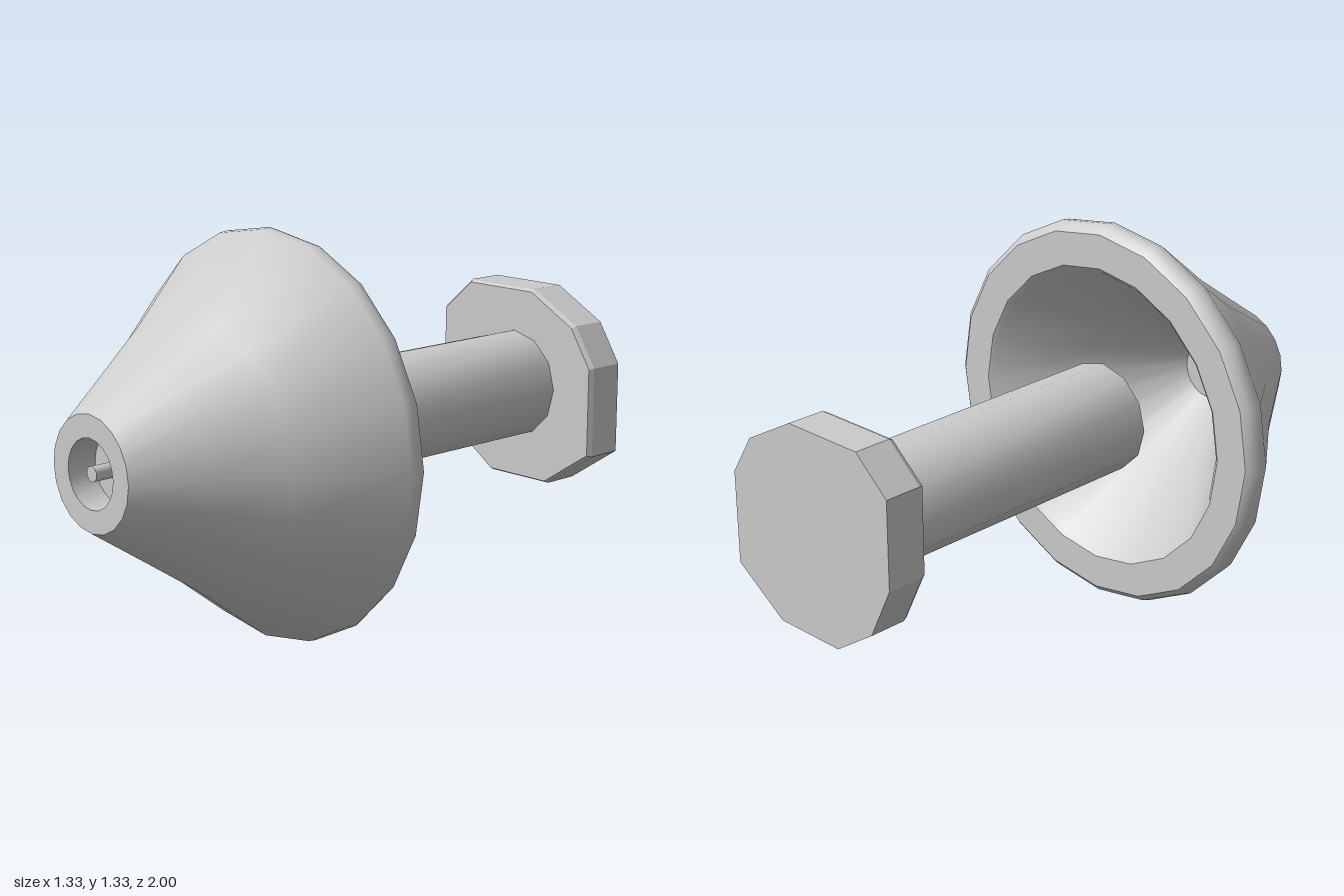
import * as THREE from 'three';
import { toCreasedNormals } from 'three/addons/utils/BufferGeometryUtils.js';

const AXIS_Y = 0.663;

export function createModel() {
  const model = new THREE.Group();
  const material = new THREE.MeshStandardMaterial({ color: 0xcccccc });

  function add(name, geometry, crease = 0.6) {
    const mesh = new THREE.Mesh(toCreasedNormals(geometry, crease), material);
    mesh.name = name;
    mesh.position.y = AXIS_Y;
    model.add(mesh);
    return mesh;
  }

  // Revolve a [radius, z] profile around the z axis
  function turned(profile, sides) {
    const points = profile.map(([r, z]) => new THREE.Vector2(r, z));
    return new THREE.LatheGeometry(points, sides).rotateX(Math.PI / 2);
  }

  // Hollow conical bell: inner wall, rounded rim, outer wall, recessed nose
  add('bell', turned([
    [0, 0.82], [0.1, 0.82], [0.3, 0.54], [0.505, 0.26],
    [0.52, 0.248], [0.635, 0.248], [0.655, 0.265], [0.664, 0.29], [0.66, 0.32],
    [0.448, 0.6], [0.315, 0.8], [0.183, 1],
    [0.11, 1], [0.11, 0.9], [0, 0.9],
  ], 20));

  // Small pin inside the nose recess
  add('nosePin', turned([[0, 0.89], [0.025, 0.89], [0.025, 0.995], [0, 0.995]], 10), 0.8);

  // Shaft from the end cap to the mouth of the bell
  const shaft = add('shaft', turned([[0, -0.88], [0.187, -0.88], [0.187, 0.265], [0, 0.265]], 12));
  shaft.position.x = -0.007;

  // Faceted end cap with a slight chamfer on its front edge
  const outline = [
    [0.345, 0.1], [0.26, 0.235], [0.07, 0.34], [-0.225, 0.34], [-0.35, 0.23],
    [-0.35, -0.06], [-0.265, -0.235], [-0.11, -0.34], [0.15, -0.34], [0.345, -0.21],
  ].map(([x, y]) => new THREE.Vector2(x, y));
  const cap = new THREE.ExtrudeGeometry(new THREE.Shape(outline), { depth: 0.145, bevelEnabled: false, steps: 8 });
  const p = cap.attributes.position;
  for (let i = 0; i < p.count; i++) {
    const s = p.getZ(i) > 0.14 ? 0.975 : 1;
    p.setXY(i, p.getX(i) * s, p.getY(i) * s);
  }
  cap.translate(0, 0, -1);
  add('endCap', cap, 0.4);

  return model;
}
